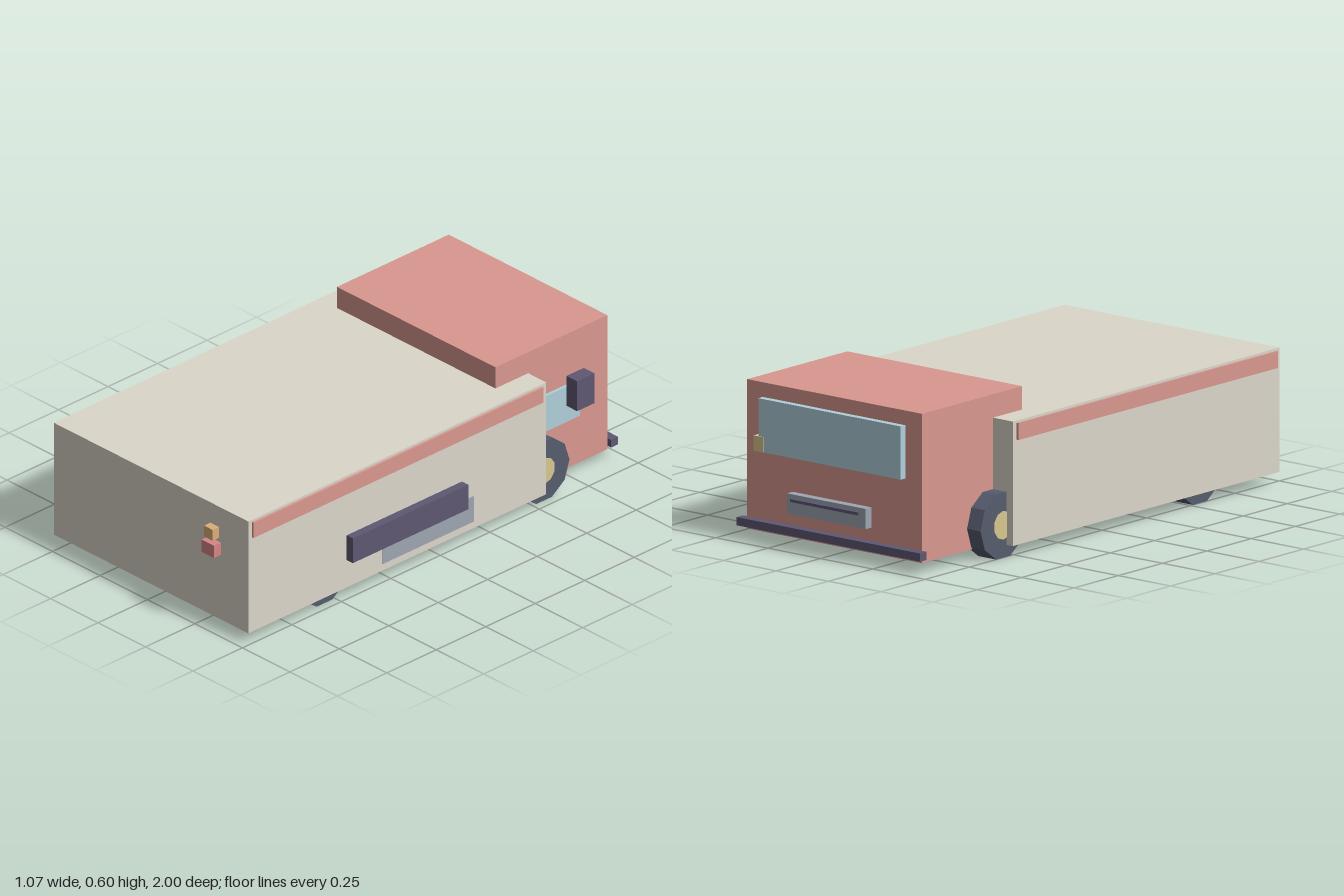
import * as THREE from 'three';

const material = (color) => new THREE.MeshStandardMaterial({ color, flatShading: true });
const cream = material(0xdcd6ca);
const coral = material(0xd9988f);
const plum = material(0x5f5873);
const glass = material(0xb1d0db);
const steel = material(0x9ea6b2);
const rubber = material(0x565c6e);
const sand = material(0xd9c78f);
const amber = material(0xdcae78);
const red = material(0xd98585);

// Box given by its extents along each axis
function block(name, mat, [x0, x1], [y0, y1], [z0, z1]) {
  const mesh = new THREE.Mesh(new THREE.BoxGeometry(x1 - x0, y1 - y0, z1 - z0), mat);
  mesh.position.set((x0 + x1) / 2, (y0 + y1) / 2, (z0 + z1) / 2);
  mesh.name = name;
  return mesh;
}

// Ten-sided tyre with a hub cap just proud of both faces
function wheel(name, x, z) {
  const group = new THREE.Group();
  group.name = name;
  const parts = [['tyre', 0.128, 0.085, rubber], ['hubCap', 0.054, 0.089, sand]];
  for (const [part, radius, width, mat] of parts) {
    const geometry = new THREE.CylinderGeometry(radius, radius, width, 10);
    geometry.rotateY(Math.PI / 2).rotateZ(Math.PI / 2);
    // a corner points along z, so the wheel stands on a flat
    geometry.rotateX(part === 'tyre' ? tyreTurn(geometry) : 0);
    const mesh = new THREE.Mesh(geometry, mat);
    mesh.name = part;
    group.add(mesh);
  }
  group.position.set(x, 0.122, z);
  return group;
}

// Turn that brings the first rim corner onto the z axis
function tyreTurn(geometry) {
  const p = geometry.attributes.position;
  return Math.atan2(p.getY(0), p.getZ(0));
}

export function createModel() {
  const model = new THREE.Group();
  model.name = 'boxVan';

  // Main bodies
  model.add(block('cargoBox', cream, [-0.53, 0.495], [0.045, 0.512], [-0.54, 0.965]));
  model.add(block('cab', coral, [-0.435, 0.4], [0.04, 0.6], [-0.94, -0.375]));

  // Trim strips along both sides of the cargo box
  for (const [name, x] of [['leftTrim', [0.49, 0.504]], ['rightTrim', [-0.539, -0.525]]]) {
    model.add(block(name, coral, x, [0.44, 0.503], [-0.518, 0.947]));
  }

  // Side awning and hatch
  model.add(block('awning', plum, [0.502, 0.535], [0.165, 0.268], [-0.108, 0.475]));
  model.add(block('sideHatch', steel, [0.49, 0.499], [0.075, 0.18], [-0.172, 0.288]));

  // Cab glazing and mirror
  model.add(block('windscreen', glass, [-0.355, 0.325], [0.345, 0.545], [-0.966, -0.94]));
  model.add(block('doorWindow', glass, [0.412, 0.424], [0.252, 0.4], [-0.78, -0.553]));
  model.add(block('mirror', plum, [0.425, 0.481], [0.32, 0.445], [-0.797, -0.71]));

  // Cab end fittings
  model.add(block('cabLamp', sand, [0.3, 0.346], [0.345, 0.403], [-0.969, -0.938]));
  model.add(block('bumper', plum, [-0.456, 0.42], [0.055, 0.086], [-0.976, -0.94]));
  model.add(block('grille', steel, [-0.205, 0.17], [0.14, 0.216], [-0.987, -0.954]));
  model.add(block('grilleBar', plum, [-0.18, 0.145], [0.19, 0.201], [-1, -0.985]));

  // Lamps on the cargo end
  model.add(block('amberLamp', amber, [0.295, 0.34], [0.382, 0.427], [0.96, 0.997]));
  model.add(block('redLamp', red, [0.285, 0.351], [0.315, 0.366], [0.96, 1]));

  // Wheels
  for (const [side, x] of [['left', 0.423], ['right', -0.457]]) {
    model.add(wheel(side + 'CabWheel', x, -0.558));
    model.add(wheel(side + 'CargoWheel', x, 0.552));
  }
  return model;
}
